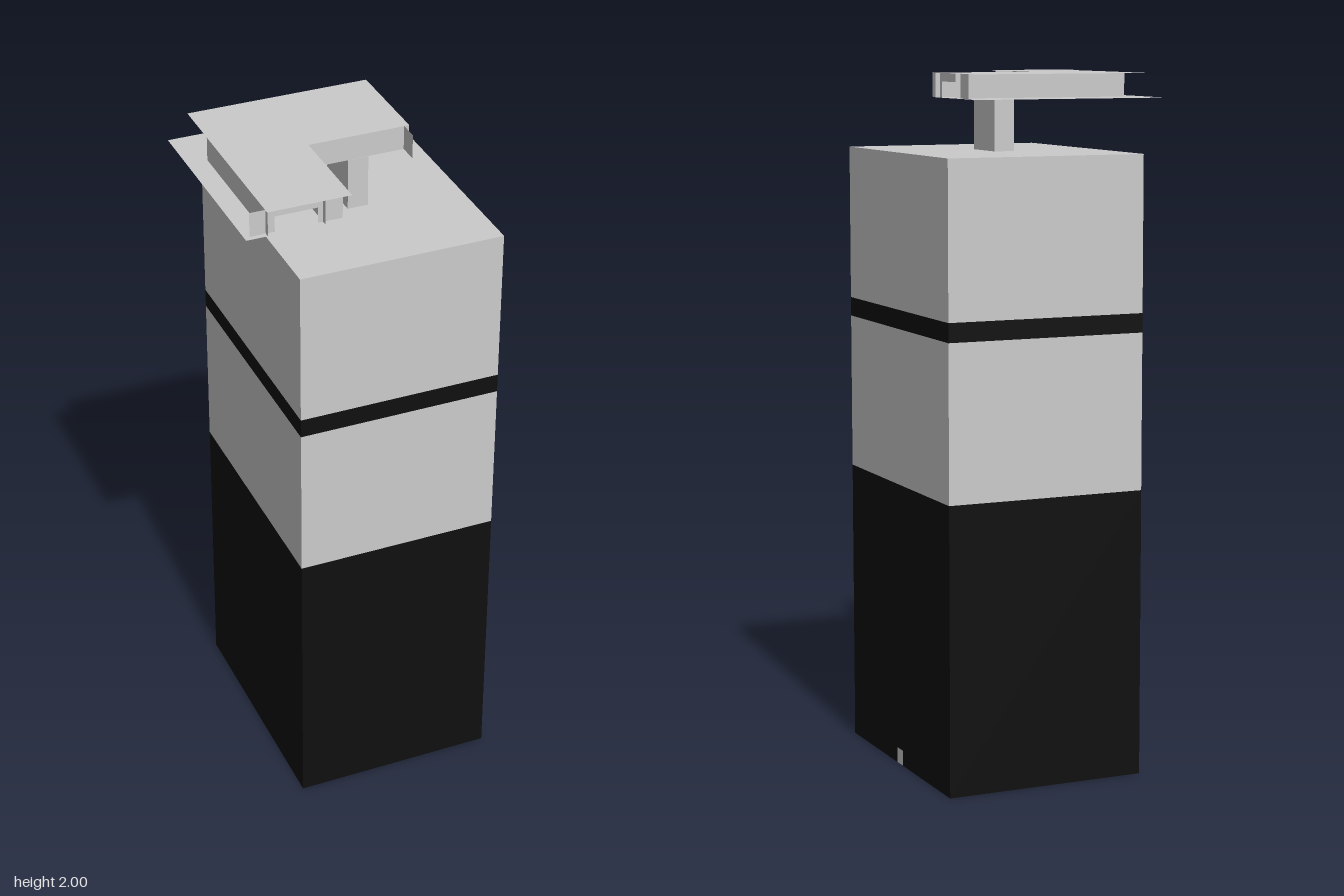
import * as THREE from 'three';

const grey = new THREE.MeshStandardMaterial({ color: 0xcccccc, flatShading: true });
const sheet = new THREE.MeshStandardMaterial({ color: 0xcccccc, side: THREE.DoubleSide });
const black = new THREE.MeshStandardMaterial({ color: 0x0f0f0f, flatShading: true });

const FLOOR = 1.93, ROOF = 2;

export function createModel() {
  const group = new THREE.Group();

  const add = (name, geometry, material) => {
    const mesh = new THREE.Mesh(geometry, material);
    mesh.name = name;
    group.add(mesh);
    return mesh;
  };

  // Box from its lower and upper limits
  const box = (name, [x0, x1], [y0, y1], [z0, z1], material) => {
    const mesh = add(name, new THREE.BoxGeometry(x1 - x0, y1 - y0, z1 - z0), material);
    mesh.position.set((x0 + x1) / 2, (y0 + y1) / 2, (z0 + z1) / 2);
  };

  // Thin L-shaped slab lying flat, with its outer edge at x = left
  const slab = (name, left, y) => {
    const shape = new THREE.Shape([
      [left, -0.222], [0.22, -0.222], [0.22, 0.073],
      [-0.075, 0.073], [-0.075, 0.37], [left, 0.37],
    ].map(([x, z]) => new THREE.Vector2(x, z)));
    const mesh = add(name, new THREE.ShapeGeometry(shape).rotateX(Math.PI / 2), sheet);
    mesh.position.y = y;
  };

  // Thin upright wall between two plan points
  const wall = (name, [x0, z0], [x1, z1]) => {
    const length = Math.hypot(x1 - x0, z1 - z0);
    const mesh = add(name, new THREE.PlaneGeometry(length, ROOF - FLOOR), sheet);
    mesh.position.set((x0 + x1) / 2, (FLOOR + ROOF) / 2, (z0 + z1) / 2);
    mesh.rotation.y = -Math.atan2(z1 - z0, x1 - x0);
  };

  // End wall with a doorway cut up from the floor
  const endWall = (name, x, z, turn) => {
    const shape = new THREE.Shape([
      [-0.13, 0], [-0.06, 0], [-0.06, 0.045], [0.06, 0.045],
      [0.06, 0], [0.13, 0], [0.13, 0.07], [-0.13, 0.07],
    ].map(([u, v]) => new THREE.Vector2(u, v)));
    const mesh = add(name, new THREE.ShapeGeometry(shape), sheet);
    mesh.position.set(x, FLOOR, z);
    mesh.rotation.y = turn;
  };

  // Tower in four flush storeys
  const levels = [0, 0.83, 1.28, 1.335, 1.78];
  ['towerBase', 'lowerBlock', 'darkBand', 'upperBlock'].forEach((name, i) => {
    box(name, [-0.222, 0.37], [levels[i], levels[i + 1]], [-0.37, 0.37], i % 2 ? grey : black);
  });

  // Small door at the foot of the tower
  const door = add('door', new THREE.PlaneGeometry(0.045, 0.045), sheet);
  door.position.set(0.371, 0.0235, 0);
  door.rotation.y = Math.PI / 2;

  // Stem carrying the rooftop lounge
  box('stem', [0.04, 0.1], [1.78, FLOOR], [-0.073, 0.073], grey);

  // L-shaped lounge: floor, roof, side walls and open ends
  slab('loungeFloor', -0.37, FLOOR);
  slab('loungeRoof', -0.311, ROOF);
  wall('backWall', [-0.31, -0.074], [0.22, -0.074]);
  wall('frontWall', [-0.15, 0.072], [0.22, 0.072]);
  wall('outerWall', [-0.31, -0.074], [-0.31, 0.37]);
  wall('innerWall', [-0.15, 0.072], [-0.15, 0.37]);
  endWall('frontEndWall', -0.225, 0.355, 0);
  endWall('sideEndWall', 0.205, 0, Math.PI / 2);

  return group;
}
